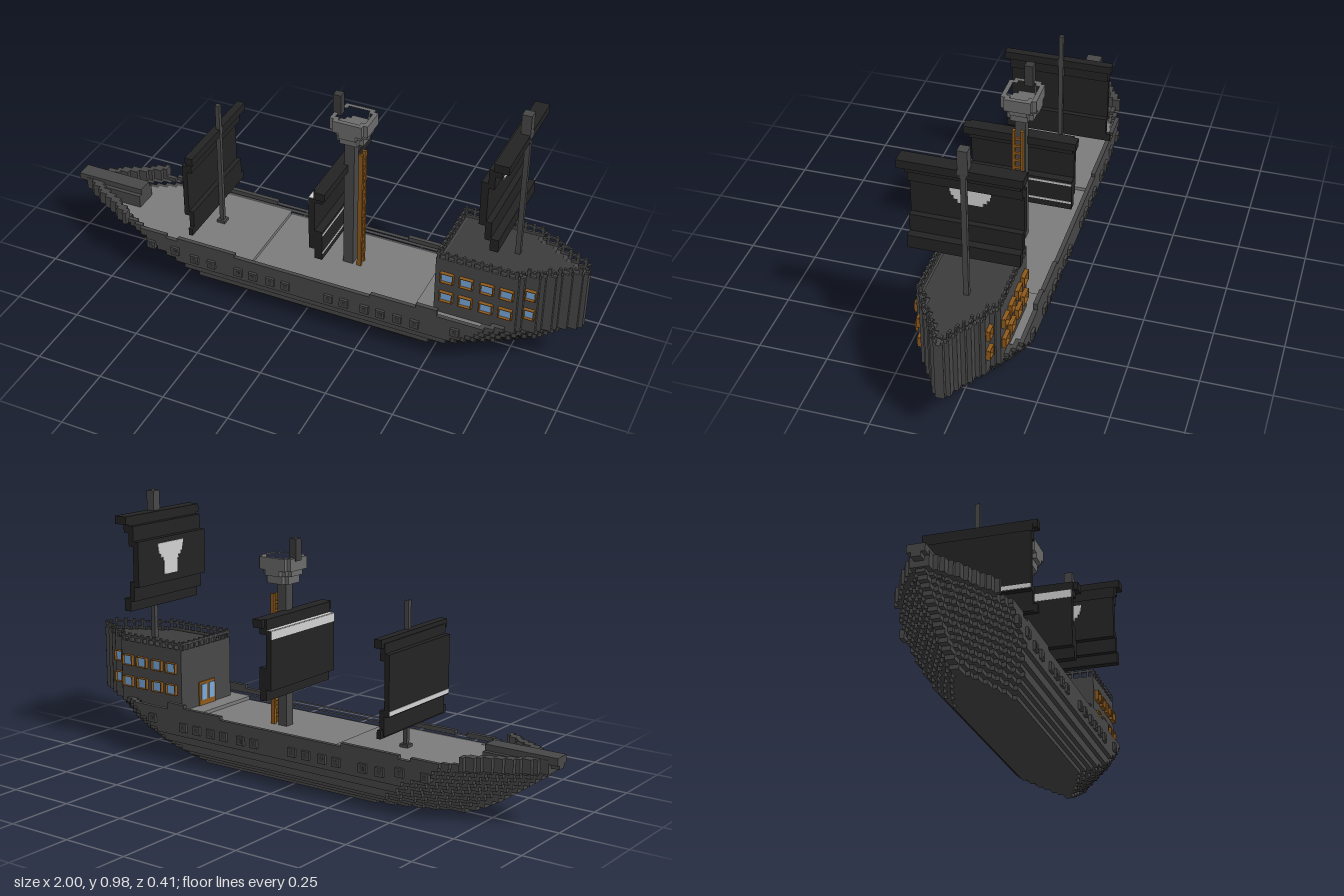
import * as THREE from 'three';
import { mergeGeometries } from 'three/addons/utils/BufferGeometryUtils.js';

const U = 0.0157; // block size
const MZ = -0.012; // mast centre line

const mat = (name, color) => {
  const m = new THREE.MeshStandardMaterial({ color });
  m.name = name;
  return m;
};

// box given by its min and max corners
function box(x0, x1, y0, y1, z0, z1) {
  const g = new THREE.BoxGeometry(x1 - x0, y1 - y0, z1 - z0).toNonIndexed();
  return g.translate((x0 + x1) / 2, (y0 + y1) / 2, (z0 + z1) / 2);
}

// piecewise linear lookup in [[key, value], ...]
function lerp(table, k) {
  for (let i = 1; i < table.length; i++) {
    const [a, va] = table[i - 1], [b, vb] = table[i];
    if (k <= b) return va + (vb - va) * Math.max(0, (k - a) / (b - a));
  }
  return table[table.length - 1][1];
}

// block columns [x0, x1, halfWidth] along the length of a plan
function columns(xa, xb, half) {
  const n = Math.round((xb - xa) / U), d = (xb - xa) / n, out = [];
  for (let i = 0; i < n; i++) {
    const x = xa + i * d;
    out.push([x, x + d, Math.max(U, Math.round(half(x + d / 2) / U) * U)]);
  }
  return out;
}

const outline = (cols) => {
  const p = cols.flatMap(([a, b, z]) => [new THREE.Vector2(a, z), new THREE.Vector2(b, z)]);
  return [...p, ...p.map((v) => new THREE.Vector2(v.x, -v.y)).reverse()];
};

// same plan one block further in
const inset = (cols) => cols.map(([a, b, z], i) => {
  const m = Math.min(z, (cols[i - 1] || [0, 0, 0])[2], (cols[i + 1] || [0, 0, 0])[2]);
  return [a, b, m - U];
}).filter((c) => c[2] > U * 0.9);

function slab(cols, y0, y1, hole) {
  const s = new THREE.Shape(outline(cols));
  if (hole) s.holes.push(new THREE.Path(outline(hole)));
  const g = new THREE.ExtrudeGeometry(s, { depth: y1 - y0, bevelEnabled: false });
  return g.rotateX(-Math.PI / 2).translate(0, y0, 0);
}

// wall of blocks on both edges of a plan
const wall = (cols, y0, y1, t) => cols.flatMap(([a, b, z]) => [
  box(a, b, y0, y1, Math.max(0, z - t), z), box(a, b, y0, y1, -z, -Math.max(0, z - t)),
]);

const BOW = [[0, -0.63], [0.03, -0.71], [0.07, -0.78], [0.13, -0.866], [0.19, -0.95], [0.23, -1]];
const STERN = [[0, 0.645], [0.04, 0.74], [0.085, 0.84], [0.14, 0.91], [0.19, 0.96], [0.235, 1]];
const WIDTH = [[0, 0.108], [0.02, 0.125], [0.05, 0.15], [0.085, 0.168], [0.13, 0.187], [0.2, 0.193]];

function hullPlan(y) {
  const xa = lerp(BOW, y), xb = lerp(STERN, y), w = lerp(WIDTH, y);
  return columns(xa, xb, (x) => {
    const t = Math.max(0, 1 - (x - xa) / 0.35, 1 - (xb - x) / 0.3);
    return w * (1 - Math.pow(t, 1.25));
  });
}

export function createModel() {
  const ship = new THREE.Group();
  ship.name = 'sailingShip';
  const hullM = mat('hull grey', 0x484848), deckM = mat('deck grey', 0x7c7c7c);
  const sailM = mat('sail black', 0x232323), whiteM = mat('pale cloth', 0xd2d2d2);
  const woodM = mat('brown wood', 0x8f5a1c), glassM = mat('window blue', 0x78aadf);
  const nestM = mat('lookout grey', 0x6c6c6c);
  const roofM = mat('roof grey', 0x3c3c3c);
  const add = (name, geos, m, parent = ship) => {
    const mesh = new THREE.Mesh(mergeGeometries(geos), m);
    mesh.name = name;
    parent.add(mesh);
  };

  // stepped hull, hollow in its top two layers
  const layers = [];
  for (let i = 0; i < 13; i++) {
    const plan = hullPlan(i * U + U / 2);
    layers.push(slab(plan, i * U, (i + 1) * U, i > 10 ? inset(plan) : null));
  }
  add('hull', layers, hullM);

  // deck in three levels
  const deck = inset(hullPlan(11.5 * U));
  const part = (a, b) => deck.filter((c) => c[0] >= a && c[0] < b);
  add('deck', [slab(part(-1, -0.21), 0.17, 0.189), slab(part(-0.21, 0.42), 0.17, 0.176),
    slab(part(0.42, 0.9), 0.17, 0.189)], deckM);

  // raised bulwarks and bow
  const top = hullPlan(0.2), prow = hullPlan(0.235);
  const range = (cols, a, b) => cols.filter((c) => c[0] >= a && c[0] < b);
  add('bulwark', [
    ...wall(range(top, -0.73, -0.55), 0.2, 0.217, U),
    ...wall(range(top, -0.5, -0.27), 0.2, 0.217, U),
    ...wall(range(top, 0.27, 0.45), 0.2, 0.217, U),
    ...wall(range(top, 0.45, 0.52), 0.2, 0.23, U),
  ], hullM);
  add('bow', [
    ...wall(range(prow, -0.97, -0.73), 0.2, 0.235, 2 * U),
    ...wall(range(prow, -1, -0.73), 0.22, 0.25, 2 * U),
    box(-1, -0.73, 0.235, 0.262, -0.03, 0.03),
    box(-0.9, -0.73, 0.19, 0.24, -0.045, 0.045),
  ], hullM);

  // gun ports on both sides
  const frames = [], holes = [];
  const ports = [-0.6, -0.5, -0.42, -0.35, -0.24, -0.18, -0.11, -0.05, 0.12, 0.18, 0.26, 0.32, 0.385, 0.45, 0.6];
  for (const x of ports) for (const s of [-1, 1]) {
    const y = x < -0.45 || x > 0.5 ? 0.16 : 0.146, z = s * 0.19;
    frames.push(box(x - 0.016, x + 0.016, y - 0.016, y + 0.016, z - 0.008, z + 0.008));
    const f = z + s * 0.008;
    holes.push(box(x - 0.008, x + 0.008, y - 0.008, y + 0.008, f - 0.001, f + 0.001));
  }
  add('gunPortFrames', frames, hullM);
  add('gunPorts', holes, roofM);

  // stern cabin
  const cabinHalf = (x) => (x < 0.79 ? 0.135 : lerp([[0.79, 0.125], [0.86, 0.1], [0.9, 0.075], [0.95, 0.04], [1, 0.012]], x));
  const cabin = columns(0.5, 1, cabinHalf);
  add('cabin', [slab(cabin, 0.185, 0.41)], hullM);
  add('cabinRoof', [slab(inset(cabin), 0.41, 0.413)], roofM);

  // fence round the cabin roof
  const fence = [...wall(cabin, 0.41, 0.421, 0.008), ...wall(cabin, 0.437, 0.444, 0.008)];
  cabin.forEach(([a, b, z], i) => {
    if (i % 2) return;
    for (const s of [-1, 1]) fence.push(box(a + 0.003, b - 0.003, 0.41, 0.452, s * (z - 0.004) - 0.004, s * (z - 0.004) + 0.004));
  });
  for (const y of [0.41, 0.437]) fence.push(box(0.5, 0.508, y, y + 0.008, -0.135, 0.135));
  for (let z = -0.12; z < 0.13; z += 0.03) fence.push(box(0.5, 0.508, 0.41, 0.45, z - 0.004, z + 0.004));
  add('roofFence', fence, hullM);

  // cabin windows with projecting wooden shutters
  const panes = [], shutters = [];
  for (const x of [0.545, 0.615, 0.69, 0.76, 0.835]) for (const y of [0.267, 0.349]) for (const s of [-1, 1]) {
    const z = s * Math.round(cabinHalf(x) / U) * U, lo = Math.min(z, z + s * 0.014), hi = Math.max(z, z + s * 0.014);
    const w = x > 0.8 ? 0.018 : 0.023;
    panes.push(box(x - w, x + w, y - 0.018, y + 0.018, z - 0.003, z + 0.003));
    for (const e of [-1, 1]) {
      shutters.push(box(x + e * w - 0.002, x + e * w + 0.002, y - 0.019, y + 0.019, lo, hi));
      shutters.push(box(x - w, x + w, y + e * 0.019 - 0.001, y + e * 0.019 + 0.001, lo, hi));
    }
  }
  add('cabinWindows', panes, glassM);
  add('windowShutters', shutters, woodM);
  add('cabinDoor', [box(0.494, 0.5, 0.189, 0.28, -0.045, 0.045)], woodM);
  add('doorWindows', [-0.022, 0.022].map((z) => box(0.491, 0.495, 0.21, 0.27, z - 0.014, z + 0.014)), glassM);

  // masts
  const pole = (x, r, y0, y1) => box(x - r, x + r, y0, y1, MZ - r, MZ + r);
  add('foreMast', [pole(-0.407, 0.008, 0.18, 0.705), pole(-0.407, 0.016, 0.18, 0.2)], hullM);
  add('mainMast', [pole(0.115, 0.019, 0.17, 0.71)], hullM);
  add('aftMast', [pole(0.743, 0.009, 0.41, 0.9), pole(0.736, 0.017, 0.89, 0.98)], hullM);

  // lookout: stepped bowl with an open top
  const ring = (r, y0, y1, hollow) => {
    const plan = columns(0.12 - r, 0.12 + r, (x) => Math.min(r * 0.9, r * 1.45 - Math.abs(x - 0.12)));
    return slab(plan, y0, y1, hollow ? inset(plan) : null).translate(0, 0, -0.018);
  };
  add('lookout', [ring(0.05, 0.705, 0.735), ring(0.063, 0.735, 0.755), ring(0.071, 0.755, 0.8, true)], nestM);
  add('lookoutPost', [box(0.044, 0.074, 0.79, 0.87, -0.04, -0.01)], roofM);

  // ladder behind the main mast
  const rungs = [];
  for (const z of [0.003, -0.027]) rungs.push(box(0.15, 0.166, 0.176, 0.66, z - 0.005, z + 0.005));
  for (let y = 0.2; y < 0.65; y += 0.03) rungs.push(box(0.154, 0.162, y, y + 0.01, -0.027, 0.003));
  add('ladder', rungs, woodM);

  // bulging sails from stepped panels [xMin, xMax, yMin, yMax], with yards
  const sail = (name, panels, yards) => {
    add(name, panels.map(([a, b, c, d]) => box(a, b, c, d, -0.188, 0.188)), sailM);
    add(name + 'Yards', yards.map(([a, b, c, d]) => box(a, b, c, d, -0.204, 0.204)), sailM);
  };
  sail('foreSail', [[-0.433, -0.415, 0.53, 0.59], [-0.452, -0.433, 0.34, 0.555], [-0.433, -0.415, 0.27, 0.36]],
    [[-0.43, -0.4, 0.575, 0.605], [-0.43, -0.415, 0.265, 0.295]]);
  sail('mainSail', [[0.062, 0.094, 0.55, 0.605], [0.043, 0.065, 0.35, 0.565], [0.065, 0.094, 0.31, 0.43]],
    [[0.07, 0.11, 0.575, 0.605]]);
  sail('aftSail', [[0.7, 0.725, 0.845, 0.9], [0.68, 0.702, 0.795, 0.87], [0.657, 0.682, 0.645, 0.815],
    [0.68, 0.702, 0.59, 0.662], [0.7, 0.73, 0.55, 0.598]], [[0.7, 0.752, 0.876, 0.906]]);

  // pale bands and patches on the sails
  add('sailBands', [
    box(0.041, 0.0435, 0.535, 0.565, -0.187, 0.187), box(0.0435, 0.062, 0.564, 0.567, -0.187, 0.187),
    box(-0.454, -0.4515, 0.345, 0.36, -0.187, 0.187),
    box(0.0935, 0.0955, 0.335, 0.343, -0.187, 0.187), box(0.0935, 0.0955, 0.412, 0.42, -0.187, 0.187),
  ], whiteM);
  const patch = [];
  [0.07, 0.068, 0.064, 0.055, 0.042].forEach((h, i) => {
    const y = 0.795 - (i + 1) * 0.0135;
    patch.push(box(0.681, 0.684, y, y + 0.0135, MZ - h, MZ + h));
    patch.push(box(0.654, 0.6575, y, y + 0.0135, MZ - h, MZ + h));
  });
  patch.push(box(0.654, 0.6575, 0.675, 0.728, MZ - 0.036, MZ + 0.036));
  add('sailPatch', patch, whiteM);
  return ship;
}
